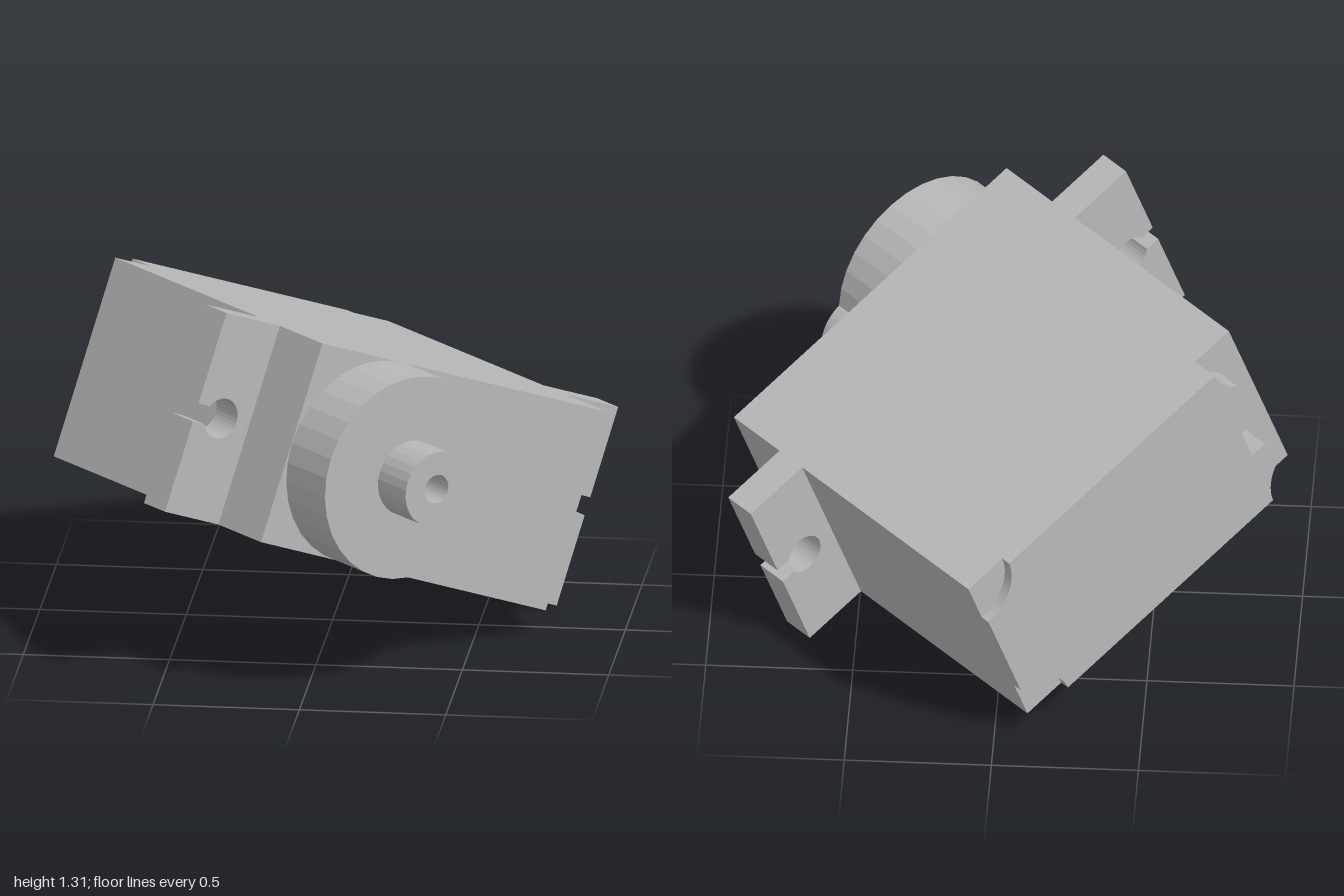
import * as THREE from 'three';

const L = 0.647, W = 0.354; // half length and half width of the case

export function createModel() {
  const grey = new THREE.MeshStandardMaterial({ color: 0xb8b8b8, flatShading: true });
  grey.name = 'casing grey';
  const model = new THREE.Group();
  model.name = 'servoMotor';
  const body = new THREE.Group();
  body.name = 'servoBody';
  model.add(body);

  // Slab with the given outline between two depths along the shaft axis
  const slab = (name, shape, z0, z1) => {
    const geo = new THREE.ExtrudeGeometry(shape, { depth: z1 - z0, bevelEnabled: false, curveSegments: 14 });
    geo.translate(0, 0, z0);
    const mesh = new THREE.Mesh(geo, grey);
    mesh.name = name;
    body.add(mesh);
    return mesh;
  };

  // Main case
  const caseGeo = new THREE.BoxGeometry(2 * L, 2 * W, 1.18);
  caseGeo.translate(0, 0, -0.02);
  const caseMesh = new THREE.Mesh(caseGeo, grey);
  caseMesh.name = 'mainCase';
  body.add(caseMesh);

  // Back cover: round screw pockets at the corners, cable recess at one end
  const coverShape = (pocketsRight) => {
    const r = 0.16, e = -L + 0.1, s = new THREE.Shape();
    const dy = Math.sqrt(r * r - 0.01), a = Math.atan2(dy, 0.1);
    s.moveTo(-L + r, -W);
    if (pocketsRight) {
      s.lineTo(L - r, -W);
      s.absarc(L, -W, r, Math.PI, Math.PI / 2, true);
      s.lineTo(L, W - r);
      s.absarc(L, W, r, -Math.PI / 2, -Math.PI, true);
    } else {
      s.lineTo(L, -W);
      s.lineTo(L, W);
    }
    s.lineTo(-L + r, W);
    s.absarc(-L, W, r, 0, -a, true);
    s.lineTo(e, 0.1);
    s.lineTo(e + 0.06, 0.1);
    s.lineTo(e + 0.06, -0.1);
    s.lineTo(e, -0.1);
    s.lineTo(e, -W + dy);
    s.absarc(-L, -W, r, a, 0, true);
    return s;
  };
  slab('backCoverBase', coverShape(false), -0.676, -0.61);
  slab('backCover', coverShape(true), -0.712, -0.676);

  // Mounting tabs with a round hole opening to the outer edge
  const tab = new THREE.Shape();
  const hx = 0.775, hr = 0.07, half = 0.032, open = Math.asin(half / hr);
  tab.moveTo(L - 0.01, -W);
  tab.lineTo(0.89, -W);
  tab.lineTo(0.89, -half);
  tab.absarc(hx, 0, hr, -open, -2 * Math.PI + open, true);
  tab.lineTo(0.89, half);
  tab.lineTo(0.89, W);
  tab.lineTo(L - 0.01, W);
  tab.closePath();
  slab('leftMountingTab', tab, 0.208, 0.328);
  slab('rightMountingTab', tab, 0.208, 0.328).rotation.z = Math.PI;

  // Gear housing: large round boss merged with a small one
  const R = 0.355, r = 0.145, gx = -0.29, d = 0.31;
  const ix = (d * d + R * R - r * r) / (2 * d), iy = Math.sqrt(R * R - ix * ix);
  const A = Math.atan2(iy, ix), B = Math.atan2(iy, ix - d);
  const boss = new THREE.Shape();
  boss.absarc(gx, 0, R, A, 2 * Math.PI - A, false);
  boss.absarc(gx + d, 0, r, -B, B, false);
  slab('gearHousing', boss, 0.56, 0.79);

  // Output shaft with screw hole
  const shaft = new THREE.Shape();
  shaft.absarc(gx, 0, 0.131, 0, 2 * Math.PI, false);
  const hole = new THREE.Path();
  hole.absarc(gx, 0, 0.05, 0, 2 * Math.PI, true);
  shaft.holes.push(hole);
  slab('outputShaft', shaft, 0.78, 0.947);

  // Tilted pose: length, width and shaft axes
  const h = new THREE.Vector3(0.731, 0, -0.683).normalize();
  const up = new THREE.Vector3(0, 1, 0);
  const tilt = 0.376, c = Math.cos(tilt), sn = Math.sin(tilt);
  const l = h.clone().multiplyScalar(c).addScaledVector(up, -sn);
  const w = h.clone().multiplyScalar(sn).addScaledVector(up, c);
  const axis = new THREE.Vector3().crossVectors(l, w);
  body.quaternion.setFromRotationMatrix(new THREE.Matrix4().makeBasis(l, w, axis));
  body.position.copy(h).multiplyScalar(0.006).setY(0.664);
  return model;
}
